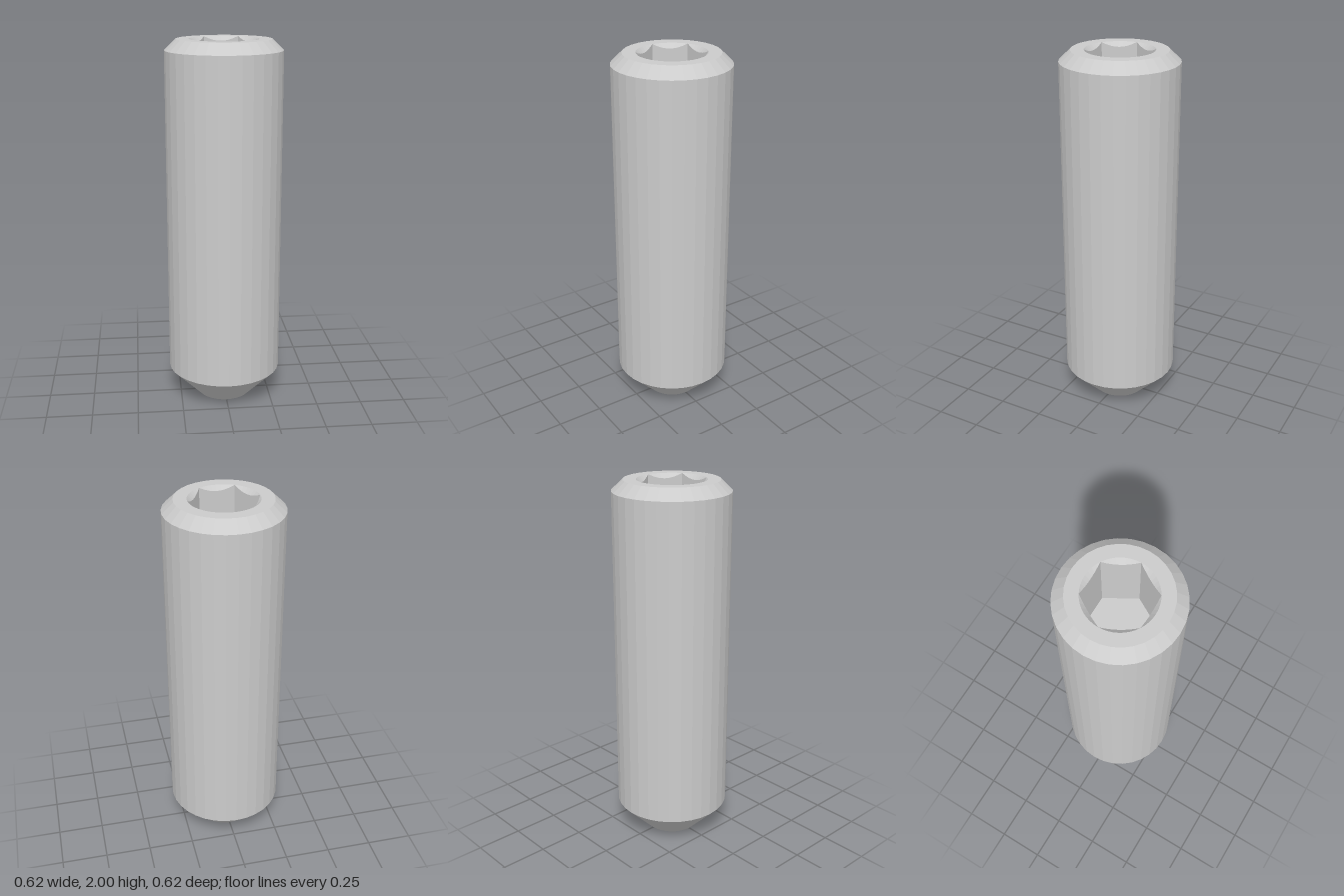
import * as THREE from 'three';

const SIDES = 32;         // facets of the round body
const SOCKET_STEPS = 48;  // angular steps of the socket, a multiple of 6
const TOP = 2;
const TOP_R = 0.252;      // flat top, outer radius
const SOCKET_R = 0.183;   // hexagon corner radius
const SOCKET_FLOOR = 1.62;

// Radius of the hexagon at a given angle, corners on the x axis
function hexRadius(a) {
  const sector = Math.PI / 3;
  const local = (a % sector) - sector / 2;
  return SOCKET_R * Math.cos(sector / 2) / Math.cos(local);
}

// Ring of points around the y axis; at(angle) gives [radius, height]
function ring(at) {
  return Array.from({ length: SOCKET_STEPS }, (_, i) => {
    const a = (i / SOCKET_STEPS) * Math.PI * 2;
    const [r, y] = at(a);
    return [r * Math.cos(a), y, -r * Math.sin(a)];
  });
}

// Band of quads between two rings, facing the axis when going downwards
function band(outer, inner) {
  const n = outer.length;
  const index = [];
  for (let i = 0; i < n; i++) {
    const j = (i + 1) % n;
    index.push(i, j, n + j, i, n + j, n + i);
  }
  const geometry = new THREE.BufferGeometry();
  geometry.setAttribute('position', new THREE.Float32BufferAttribute([...outer, ...inner].flat(), 3));
  geometry.setIndex(index);
  geometry.computeVertexNormals();
  return geometry;
}

function circlePoints(r, n) {
  return Array.from({ length: n }, (_, i) => {
    const a = (i / n) * Math.PI * 2;
    return new THREE.Vector2(r * Math.cos(a), r * Math.sin(a));
  });
}

export function createModel() {
  const group = new THREE.Group();
  group.name = 'setScrew';
  const material = new THREE.MeshStandardMaterial({ color: 0xcccccc, flatShading: true });
  const add = (name, geometry) => {
    const mesh = new THREE.Mesh(geometry, material);
    mesh.name = name;
    group.add(mesh);
    return mesh;
  };

  // Hollow cup point, tapered tip, shank and top chamfer
  const profile = [
    [0, 0.087], [0.147, 0], [0.312, 0.167], [0.312, 1.943], [TOP_R, TOP],
  ].map(([r, y]) => new THREE.Vector2(r, y));
  add('shank', new THREE.LatheGeometry(profile, SIDES));

  // Flat ring around the socket
  const face = new THREE.Shape(circlePoints(TOP_R, SIDES));
  face.holes.push(new THREE.Path(circlePoints(SOCKET_R, SOCKET_STEPS)));
  const topFace = add('topFace', new THREE.ShapeGeometry(face));
  topFace.rotation.x = -Math.PI / 2;
  topFace.position.y = TOP;

  // Conical lead-in, meeting the hexagon in scallops
  const rim = ring(() => [SOCKET_R, TOP]);
  const scallop = ring((a) => [hexRadius(a), TOP - (SOCKET_R - hexRadius(a))]);
  add('socketChamfer', band(rim, scallop));

  // Hexagonal socket walls and floor
  add('socketWalls', band(scallop, ring((a) => [hexRadius(a), SOCKET_FLOOR])));
  const floor = add('socketFloor', new THREE.CircleGeometry(SOCKET_R, 6));
  floor.rotation.x = -Math.PI / 2;
  floor.position.y = SOCKET_FLOOR;

  return group;
}
